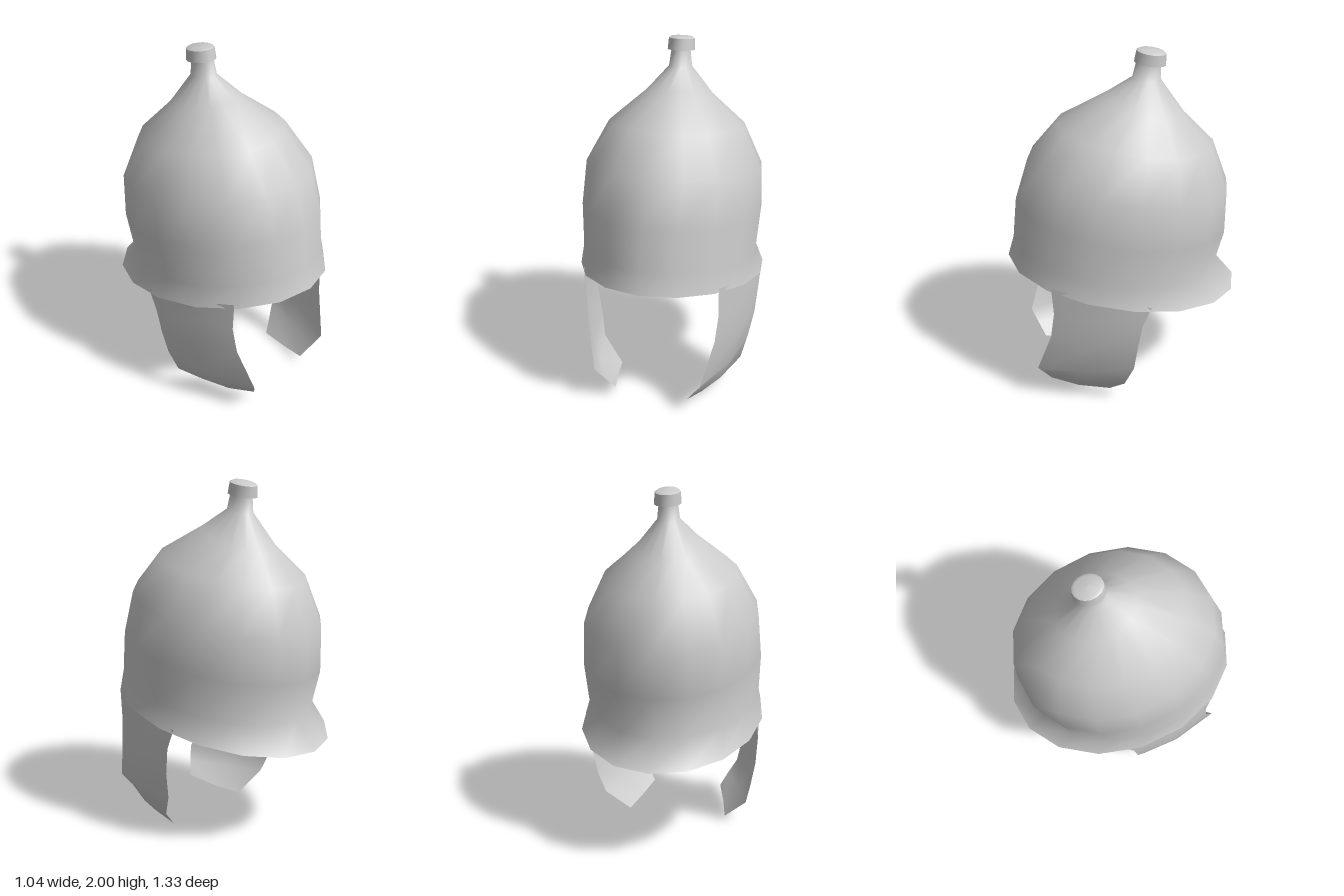
import * as THREE from 'three';

const SIDES = 16;
const material = new THREE.MeshStandardMaterial({ color: 0xcccccc, side: THREE.DoubleSide });

// Joins rows of points into one smooth sheet, optionally closed around.
function sheet(name, rows, closed) {
  const n = rows[0].length;
  const index = [];
  for (let j = 0; j < rows.length - 1; j++) {
    for (let i = 0; i < (closed ? n : n - 1); i++) {
      const k = (i + 1) % n;
      const a = j * n + i, b = j * n + k, c = a + n, d = b + n;
      index.push(a, b, d, a, d, c);
    }
  }
  const geometry = new THREE.BufferGeometry();
  geometry.setAttribute('position', new THREE.Float32BufferAttribute(rows.flat(2), 3));
  geometry.setIndex(index);
  geometry.computeVertexNormals();
  const mesh = new THREE.Mesh(geometry, material);
  mesh.name = name;
  return mesh;
}

// Tilted oval ring from its front point, back point and half width.
function ring([zFront, yFront, zBack, yBack, halfWidth]) {
  return Array.from({ length: SIDES }, (_, i) => {
    const a = (i / SIDES) * Math.PI * 2;
    const t = (1 - Math.cos(a)) / 2;
    return [
      halfWidth * Math.sin(a),
      yFront + (yBack - yFront) * t,
      zFront + (zBack - zFront) * t,
    ];
  });
}

export function createModel() {
  const group = new THREE.Group();
  group.name = 'helmet';

  // Bowl with flared brim, neck guard and narrow neck
  const bowl = [
    [0.665, 0.80, -0.665, 0.565, 0.52],
    [0.63, 0.92, -0.54, 0.715, 0.49],
    [0.605, 1.16, -0.60, 0.95, 0.505],
    [0.53, 1.40, -0.60, 1.20, 0.49],
    [0.36, 1.60, -0.51, 1.45, 0.375],
    [0.10, 1.745, -0.34, 1.63, 0.18],
    [-0.05, 1.84, -0.21, 1.82, 0.062],
    [-0.075, 1.94, -0.205, 1.92, 0.05],
  ];
  group.add(sheet('bowl', bowl.map(ring), true));

  // Knob on top; doubled rings keep its edges sharp
  const under = [-0.06, 1.93, -0.235, 1.905, 0.075];
  const upper = [-0.073, 1.992, -0.235, 1.967, 0.07];
  const knob = [
    [-0.08, 1.93, -0.20, 1.913, 0.05],
    under, under, upper, upper,
    [-0.09, 2.0, -0.222, 1.978, 0.055],
    [-0.156, 1.993, -0.156, 1.993, 0],
  ];
  group.add(sheet('knob', knob.map(ring), true));

  // Curved cheek guards; each row runs from the front edge to the back edge
  const cheek = [
    [[0.385, 0.79, 0.45], [0.485, 0.74, 0.20], [0.505, 0.69, -0.09]],
    [[0.385, 0.62, 0.44], [0.48, 0.60, 0.20], [0.503, 0.57, -0.04]],
    [[0.37, 0.46, 0.46], [0.465, 0.43, 0.22], [0.49, 0.41, -0.015]],
    [[0.31, 0.205, 0.54], [0.42, 0.23, 0.27], [0.46, 0.255, 0]],
    [[0.26, 0.13, 0.50], [0.365, 0.12, 0.29], [0.43, 0.13, 0.05]],
    [[0.215, 0.055, 0.46], [0.26, 0.015, 0.30], [0.295, 0, 0.12]],
  ];
  for (const [name, side] of [['leftCheekGuard', 1], ['rightCheekGuard', -1]]) {
    // Row order is reversed on one side so both guards face outwards
    const rows = cheek.map((row) => {
      const points = row.map(([x, y, z]) => [side * x, y, z]);
      return side > 0 ? points : points.reverse();
    });
    group.add(sheet(name, rows.reverse(), false));
  }
  return group;
}
